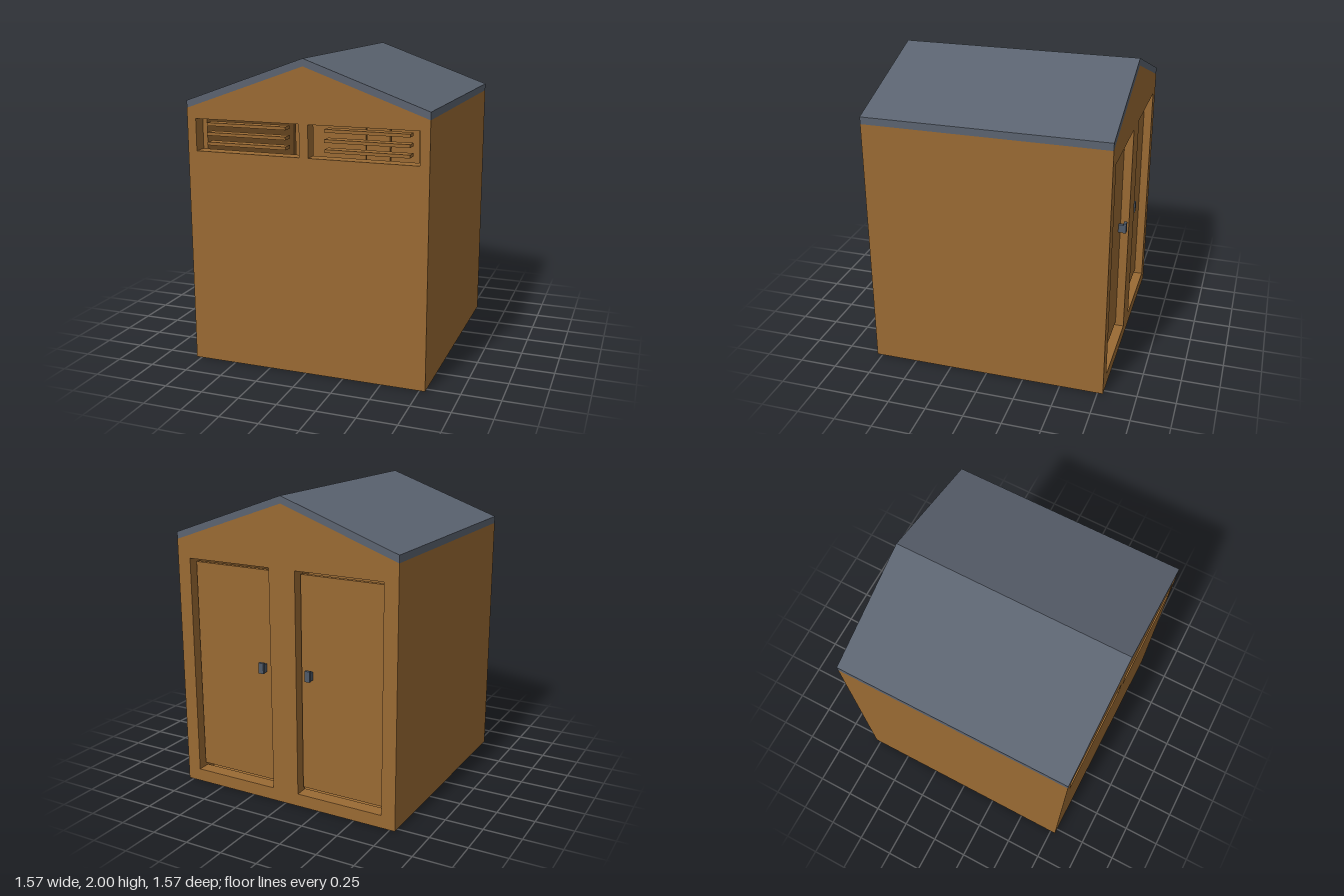
import * as THREE from 'three';

const W = 0.786;         // half width and half depth
const T = 0.09;          // wall thickness
const EAVE = 1.672, RIDGE = 1.953, ROOF_T = 0.047;

export function createModel() {
  const shed = new THREE.Group();
  shed.name = 'shed';

  const wood = new THREE.MeshStandardMaterial({ color: 0x9a6a33 });
  wood.name = 'brown wood';
  const slate = new THREE.MeshStandardMaterial({ color: 0x5b6370 });
  slate.name = 'slate grey';
  const metal = new THREE.MeshStandardMaterial({ color: 0x4f5a68 });
  metal.name = 'handle metal';

  const add = (name, geometry, material, x = 0, y = 0, z = 0, parent = shed) => {
    const mesh = new THREE.Mesh(geometry, material);
    mesh.name = name;
    mesh.position.set(x, y, z);
    parent.add(mesh);
    return mesh;
  };
  const box = (name, w, h, d, x, y, z, material = wood, parent = shed) =>
    add(name, new THREE.BoxGeometry(w, h, d), material, x, y, z, parent);

  const polygon = (points) => new THREE.Shape(points.map(([x, y]) => new THREE.Vector2(x, y)));
  const extrude = (shape, depth) =>
    new THREE.ExtrudeGeometry(shape, { depth, bevelEnabled: false });

  // Gable wall with a mirrored pair of rectangular openings
  const gable = (x0, x1, y0, y1) => {
    const shape = polygon([[-W, 0], [W, 0], [W, EAVE], [0, RIDGE], [-W, EAVE]]);
    for (const s of [-1, 1]) {
      const hole = new THREE.Path();
      hole.moveTo(s * x0, y0);
      hole.lineTo(s * x0, y1);
      hole.lineTo(s * x1, y1);
      hole.lineTo(s * x1, y0);
      hole.closePath();
      shape.holes.push(hole);
    }
    return extrude(shape, T);
  };
  add('frontWall', gable(0.029, 0.727, 1.402, 1.607), wood, 0, 0, W - T);
  add('backWall', gable(0.093, 0.692, 0.085, 1.555), wood, 0, 0, -W);

  // Side walls and floor fill the space between the gables
  const inner = 2 * (W - T);
  for (const s of [-1, 1]) {
    box(s > 0 ? 'leftWall' : 'rightWall', T, EAVE, inner, s * (W - T / 2), EAVE / 2, 0);
  }
  box('floor', inner, 0.05, inner, 0, 0.025, 0);

  // Pitched roof slab
  add('roof', extrude(polygon([
    [-W, EAVE], [0, RIDGE], [W, EAVE],
    [W, EAVE + ROOF_T], [0, RIDGE + ROOF_T], [-W, EAVE + ROOF_T],
  ]), 2 * W), slate, 0, 0, -W);

  for (const s of [-1, 1]) {
    // Louvre slats in the front vents
    const vent = new THREE.Group();
    vent.name = s > 0 ? 'leftVent' : 'rightVent';
    shed.add(vent);
    for (let i = 0; i < 3; i++) {
      box('ventSlat', 0.534, 0.02, 0.07, s * 0.394, 1.572 - i * 0.0615, W - 0.055, wood, vent);
    }

    // Door leaf set back in its frame, with clearance all round
    const door = new THREE.Group();
    door.name = s > 0 ? 'leftDoor' : 'rightDoor';
    shed.add(door);
    box('doorLeaf', 0.582, 1.41, 0.03, s * 0.3925, 0.82, -W + 0.07, wood, door);

    // Handle: post against the door and an upright grip
    const hx = s * 0.17, hy = 0.895;
    box('handlePost', 0.022, 0.055, 0.04, hx, hy - 0.008, -W + 0.037, metal, door);
    box('handleGrip', 0.036, 0.07, 0.02, hx, hy, -W + 0.012, metal, door);
  }

  return shed;
}
